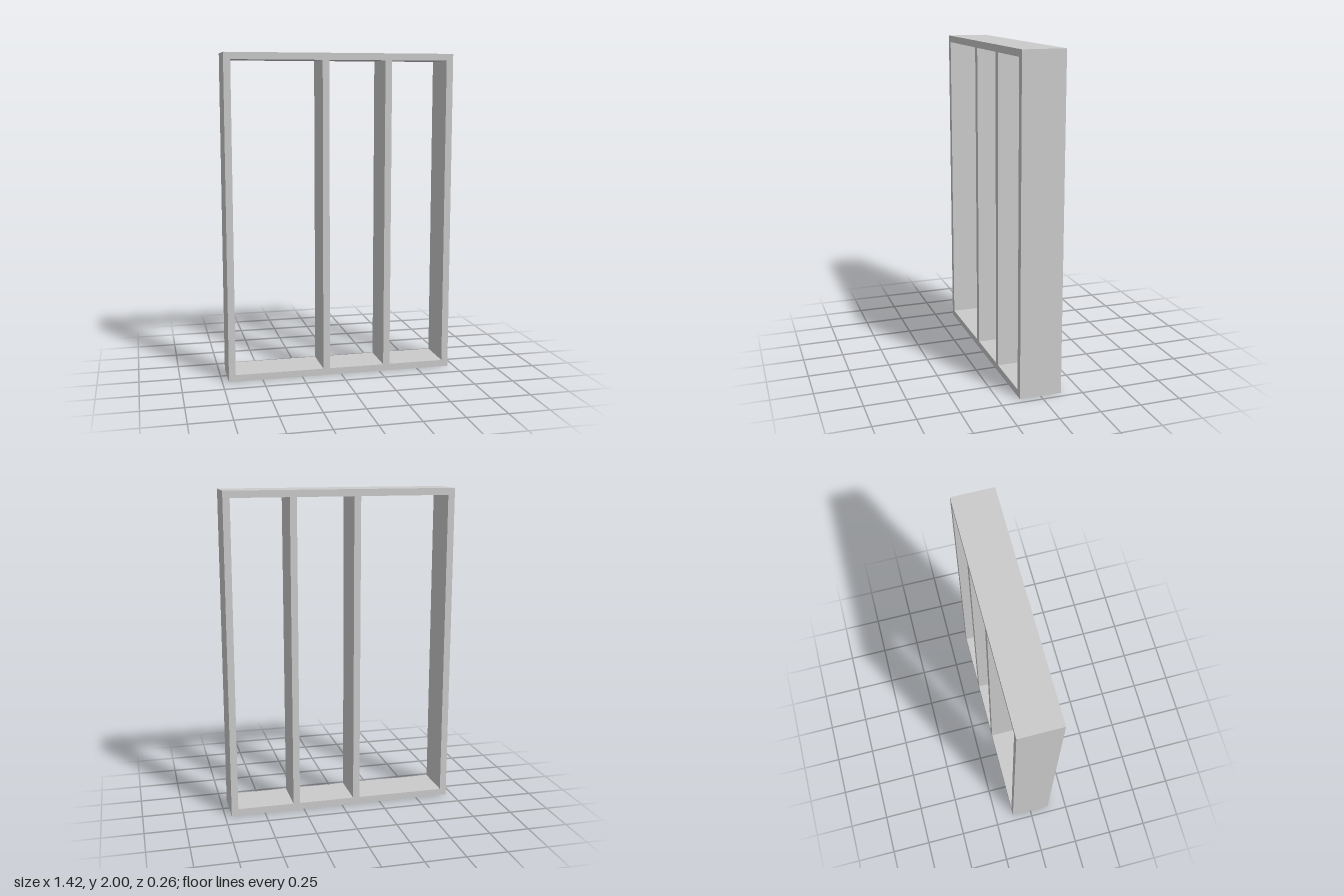
import * as THREE from 'three';

const WIDTH = 1.42, HEIGHT = 2, DEPTH = 0.256, BOARD = 0.042;
const DIVIDERS = [-0.095, 0.296]; // centre x of the upright dividers

function rectangle(path, x0, y0, x1, y1) {
  path.moveTo(x0, y0);
  path.lineTo(x1, y0);
  path.lineTo(x1, y1);
  path.lineTo(x0, y1);
  path.closePath();
  return path;
}

export function createModel() {
  const group = new THREE.Group();
  group.name = 'openShelfFrame';

  // Outer frame outline
  const outline = rectangle(new THREE.Shape(), -WIDTH / 2, 0, WIDTH / 2, HEIGHT);

  // One opening between each pair of neighbouring uprights
  const uprights = [-WIDTH / 2 + BOARD / 2, ...DIVIDERS, WIDTH / 2 - BOARD / 2];
  for (let i = 0; i < uprights.length - 1; i++) {
    outline.holes.push(rectangle(new THREE.Path(),
      uprights[i] + BOARD / 2, BOARD, uprights[i + 1] - BOARD / 2, HEIGHT - BOARD));
  }

  // Frame and dividers as one seamless piece
  const geometry = new THREE.ExtrudeGeometry(outline, { depth: DEPTH, bevelEnabled: false });
  geometry.translate(0, 0, -DEPTH / 2);
  const frame = new THREE.Mesh(geometry, new THREE.MeshStandardMaterial({ color: 0xcccccc }));
  frame.name = 'frameWithDividers';
  group.add(frame);

  return group;
}
